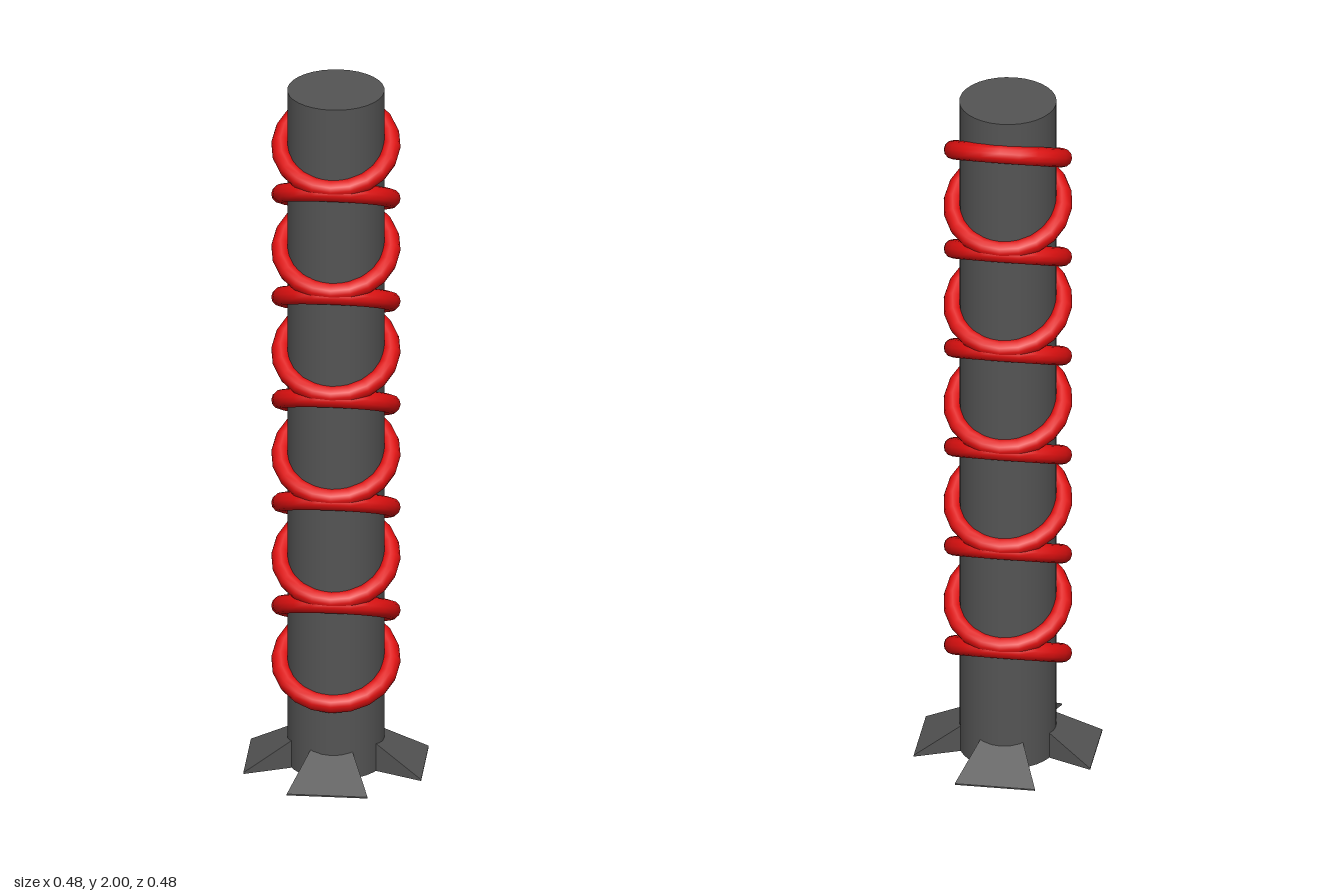
import * as THREE from 'three';

const grey = new THREE.MeshStandardMaterial({ color: 0x545454 });
const greyFlat = new THREE.MeshStandardMaterial({ color: 0x545454, flatShading: true });
const red = new THREE.MeshStandardMaterial({ color: 0xdd1010 });

// Wedge foot along +z: tall and narrow at the pole, thin and wide at the tip
function footGeometry() {
  const inner = 0.09, outer = 0.242;
  const geo = new THREE.BoxGeometry(1, 1, 1);
  const p = geo.attributes.position;
  for (let i = 0; i < p.count; i++) {
    const tip = p.getZ(i) > 0;
    const halfWidth = tip ? 0.11 : 0.046;
    const top = tip ? 0.004 : 0.096;
    p.setXYZ(i, Math.sign(p.getX(i)) * halfWidth, p.getY(i) > 0 ? top : 0, tip ? outer : inner);
  }
  geo.computeVertexNormals();
  return geo;
}

export function createModel() {
  const model = new THREE.Group();
  model.name = 'wrappedPost';

  // Upright post
  const post = new THREE.Mesh(new THREE.CylinderGeometry(0.132, 0.132, 2, 32), grey);
  post.name = 'post';
  post.position.set(-0.001, 1, -0.002);
  model.add(post);

  // Four splayed feet
  const feet = new THREE.Group();
  feet.name = 'feet';
  const footGeo = footGeometry();
  for (let i = 0; i < 4; i++) {
    const foot = new THREE.Mesh(footGeo, greyFlat);
    foot.name = 'foot' + (i + 1);
    foot.rotation.y = i * Math.PI / 2;
    if (i % 2) foot.position.z = 0.006;
    else foot.position.x = -0.002;
    feet.add(foot);
  }
  model.add(feet);

  // Rings tilted alternately forward and back, meeting in a zigzag
  const rings = new THREE.Group();
  rings.name = 'rings';
  const ringGeo = new THREE.TorusGeometry(0.15, 0.026, 12, 20);
  const tilt = THREE.MathUtils.degToRad(28.8);
  for (let i = 0; i < 11; i++) {
    const ring = new THREE.Mesh(ringGeo, red);
    ring.name = 'ring' + (i + 1);
    ring.position.set(-0.001, 0.299 + i * 0.1537, -0.002);
    ring.rotation.x = Math.PI / 2 + (i % 2 ? -tilt : tilt);
    rings.add(ring);
  }
  model.add(rings);

  return model;
}
